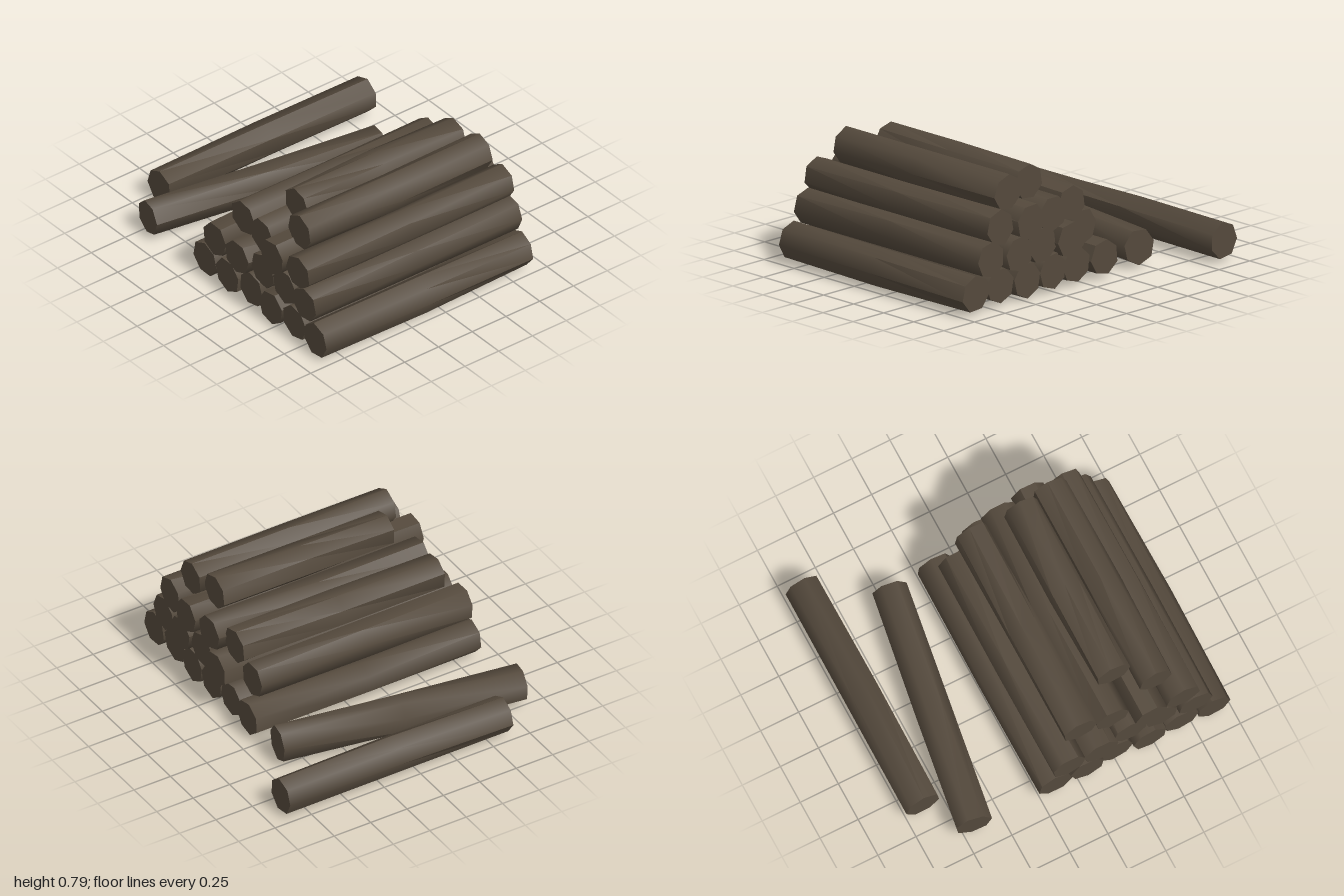
import * as THREE from 'three';
import { toCreasedNormals } from 'three/addons/utils/BufferGeometryUtils.js';

// One rough seven-sided log along z: uneven rim, gently bulged and bent in the middle
function logGeometry(length, spin, seed) {
  const geo = new THREE.CylinderGeometry(0.11, 0.11, length, 7, 2, false, Math.PI);
  geo.rotateX(Math.PI / 2);
  const p = geo.attributes.position;
  for (let i = 0; i < p.count; i++) {
    const x = p.getX(i), y = p.getY(i), z = p.getZ(i);
    const a = Math.atan2(y, x);
    const end = Math.sign(Math.round(z * 100));
    const middle = end === 0;
    const k = 1 + 0.03 * Math.sin(2 * a + seed * 1.7 + end * 0.8) + (middle ? 0.02 : 0);
    const twist = middle ? 0.1 * Math.sin(seed * 2.3) : end * 0.08 * Math.cos(seed * 3.1);
    const c = Math.cos(twist) * k, s = Math.sin(twist) * k;
    const bend = middle ? 0.006 : 0;
    p.setXYZ(i,
      x * c - y * s + bend * Math.cos(seed * 4.1),
      x * s + y * c + bend * Math.sin(seed * 2.9),
      z);
  }
  geo.rotateZ(spin);
  return toCreasedNormals(geo, 0.93);
}

export function createModel() {
  const model = new THREE.Group();
  model.name = 'logPile';
  const bark = new THREE.MeshStandardMaterial({ color: 0x54493c });
  bark.name = 'darkBark';
  let seed = 0;

  function addLog(parent, name, x, y, back, front, spin, yaw = 0) {
    const log = new THREE.Mesh(logGeometry(front - back, spin, ++seed), bark);
    log.name = name;
    log.position.set(x, y, (front + back) / 2);
    log.rotation.y = yaw;
    parent.add(log);
  }

  // Stacked rows from the ground up: [x, y, back z, front z, spin]
  const rows = {
    bottomRow: [
      [-0.15, 0.13, -0.66, 0.88, 0.1], [0.06, 0.125, -0.64, 0.88, 0.4],
      [0.26, 0.13, -0.65, 0.86, 0.25], [0.47, 0.12, -0.65, 0.88, 0.5],
      [0.68, 0.13, -0.64, 0.87, 0.35], [0.89, 0.125, -0.65, 0.88, 0.05]],
    secondRow: [
      [-0.06, 0.315, -0.57, 0.88, 0.45], [0.15, 0.305, -0.69, 0.88, 0.3],
      [0.355, 0.31, -0.66, 0.85, 0.0], [0.56, 0.305, -0.68, 0.85, 0.4],
      [0.775, 0.31, -0.66, 0.87, 0.15]],
    thirdRow: [
      [0.07, 0.495, -0.61, 0.77, 0.2], [0.27, 0.485, -0.66, 0.79, 0.4],
      [0.48, 0.485, -0.69, 0.88, 0.5], [0.70, 0.49, -0.66, 0.86, 0.0]],
    topRow: [
      [0.37, 0.68, -0.56, 0.61, 0.15], [0.575, 0.665, -0.595, 0.75, 0.05]],
  };
  for (const [rowName, logs] of Object.entries(rows)) {
    const row = new THREE.Group();
    row.name = rowName;
    logs.forEach(([x, y, back, front, spin], i) =>
      addLog(row, `${rowName}Log${i + 1}`, x, y, back, front, spin));
    model.add(row);
  }

  // Two loose logs beside the pile, one lying askew
  addLog(model, 'looseLog', -0.893, 0.125, -0.895, 0.635, -0.1);
  addLog(model, 'askewLog', -0.57, 0.125, -0.65, 0.89, 0.4, -0.155);
  return model;
}
